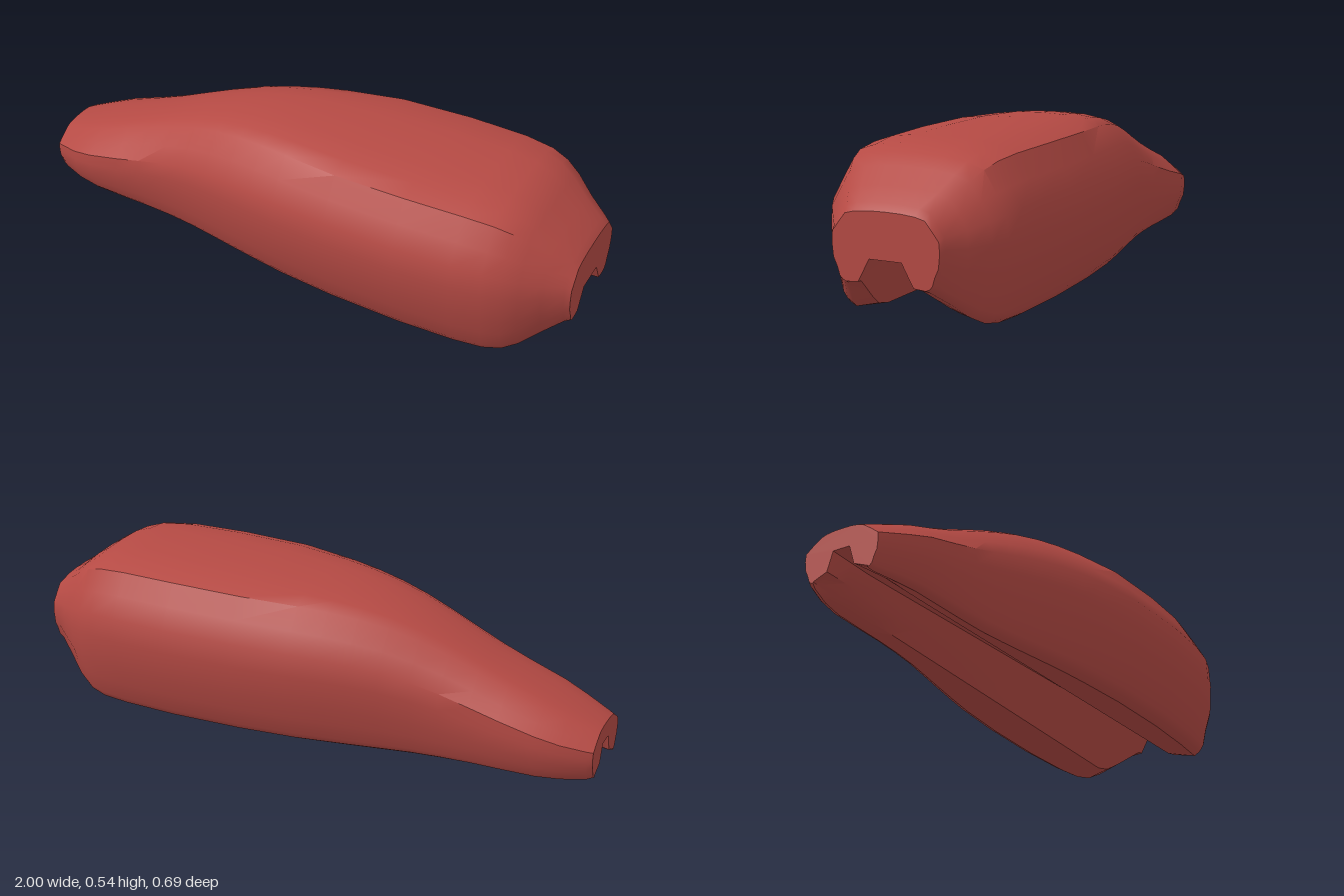
import * as THREE from 'three';
import { toCreasedNormals } from 'three/addons/utils/BufferGeometryUtils.js';

const { lerp, clamp } = THREE.MathUtils;

// stations along the length: x, half width, top, bottom
const STATIONS = [
  [-1, 0.135, 0.2, 0.045], [-0.98, 0.145, 0.21, 0.037], [-0.9, 0.178, 0.243, 0.03],
  [-0.82, 0.197, 0.277, 0.027], [-0.7, 0.203, 0.322, 0.025], [-0.6, 0.207, 0.363, 0.024],
  [-0.5, 0.215, 0.407, 0.022], [-0.4, 0.231, 0.447, 0.021], [-0.3, 0.253, 0.48, 0.019],
  [-0.2, 0.276, 0.503, 0.017], [-0.1, 0.297, 0.518, 0.015], [0, 0.315, 0.527, 0.012],
  [0.2, 0.338, 0.537, 0.009], [0.45, 0.347, 0.54, 0.005], [0.65, 0.338, 0.538, 0.002],
  [0.75, 0.324, 0.528, 0.003], [0.81, 0.305, 0.508, 0.013], [0.86, 0.278, 0.476, 0.04],
  [0.92, 0.234, 0.425, 0.09], [0.98, 0.19, 0.387, 0.135], [1, 0.183, 0.365, 0.145],
];

// underside channel: x, lip z, lip y, wall z, wall y, ceiling z, ceiling y
const CHANNEL = [
  [-1, 0.1, 0.05, 0.05, 0.07, 0.03, 0.133],
  [-0.8, 0.105, 0.04, 0.07, 0.085, 0.045, 0.14],
  [0.75, 0.147, 0.02, 0.105, 0.11, 0.062, 0.195],
  [0.82, 0.143, 0.035, 0.1, 0.125, 0.06, 0.2],
  [0.98, 0.096, 0.146, 0.078, 0.18, 0.055, 0.22],
  [1, 0.095, 0.148, 0.077, 0.18, 0.055, 0.22],
];

function channelAt(x) {
  let i = 0;
  while (i < CHANNEL.length - 2 && x > CHANNEL[i + 1][0]) i++;
  const a = CHANNEL[i], b = CHANNEL[i + 1];
  const k = (x - a[0]) / (b[0] - a[0]);
  return a.map((v, j) => lerp(v, b[j], k));
}

// closed cross-section as [z, y] points, from the top round the +z side
function section([x, w, top, bottom]) {
  const k = clamp((x + 0.55) / 0.75, 0, 1); // shoulder widens towards the thick end
  const shoulder = lerp(0.57, 0.74, k);
  const hull = [
    [0, 1], [shoulder * 0.4, 0.995], [shoulder * 0.75, 0.975], [shoulder, 0.935],
    [lerp(0.8, 0.87, k), 0.8], [0.985, 0.675], [1, 0.52], [0.975, 0.32],
    [0.905, 0.19], [0.86, 0.07], [0.81, 0.025], [0.74, 0],
  ].map(([u, v]) => [u * w, lerp(bottom, top, v)]);
  const [, lz, ly, mz, my, cz, cy] = channelAt(x);
  const half = [...hull, [lz, ly], [mz, my], [cz, cy], [0, cy]];
  const mirrored = half.slice(1, -1).reverse().map(([z, y]) => [-z, y]);
  return [...half, ...mirrored];
}

function buildShell() {
  const rings = STATIONS.map(section);
  const n = rings[0].length;
  const positions = [];
  rings.forEach((ring, i) => ring.forEach(([z, y]) => positions.push(STATIONS[i][0], y, z)));
  const index = [];
  for (let i = 0; i < rings.length - 1; i++) {
    for (let j = 0; j < n; j++) {
      const a = i * n + j, b = i * n + (j + 1) % n;
      index.push(a, b, a + n, b, b + n, a + n);
    }
  }
  // notched end faces
  for (const i of [0, rings.length - 1]) {
    const outline = rings[i].map(([z, y]) => new THREE.Vector2(z, y)).reverse();
    for (const [a, b, c] of THREE.ShapeUtils.triangulateShape(outline, [])) {
      const [p, q, r] = [a, b, c].map((v) => i * n + n - 1 - v);
      if (i === 0) index.push(p, q, r);
      else index.push(p, r, q);
    }
  }
  const geometry = new THREE.BufferGeometry();
  geometry.setAttribute('position', new THREE.Float32BufferAttribute(positions, 3));
  geometry.setIndex(index);
  return toCreasedNormals(geometry, 0.65);
}

export function createModel() {
  const red = new THREE.MeshStandardMaterial({ color: 0xb54a44, side: THREE.DoubleSide });
  red.name = 'brick red';
  const shell = new THREE.Mesh(buildShell(), red);
  shell.name = 'channelledShell';
  const model = new THREE.Group();
  model.name = 'taperedCover';
  model.add(shell);
  return model;
}
